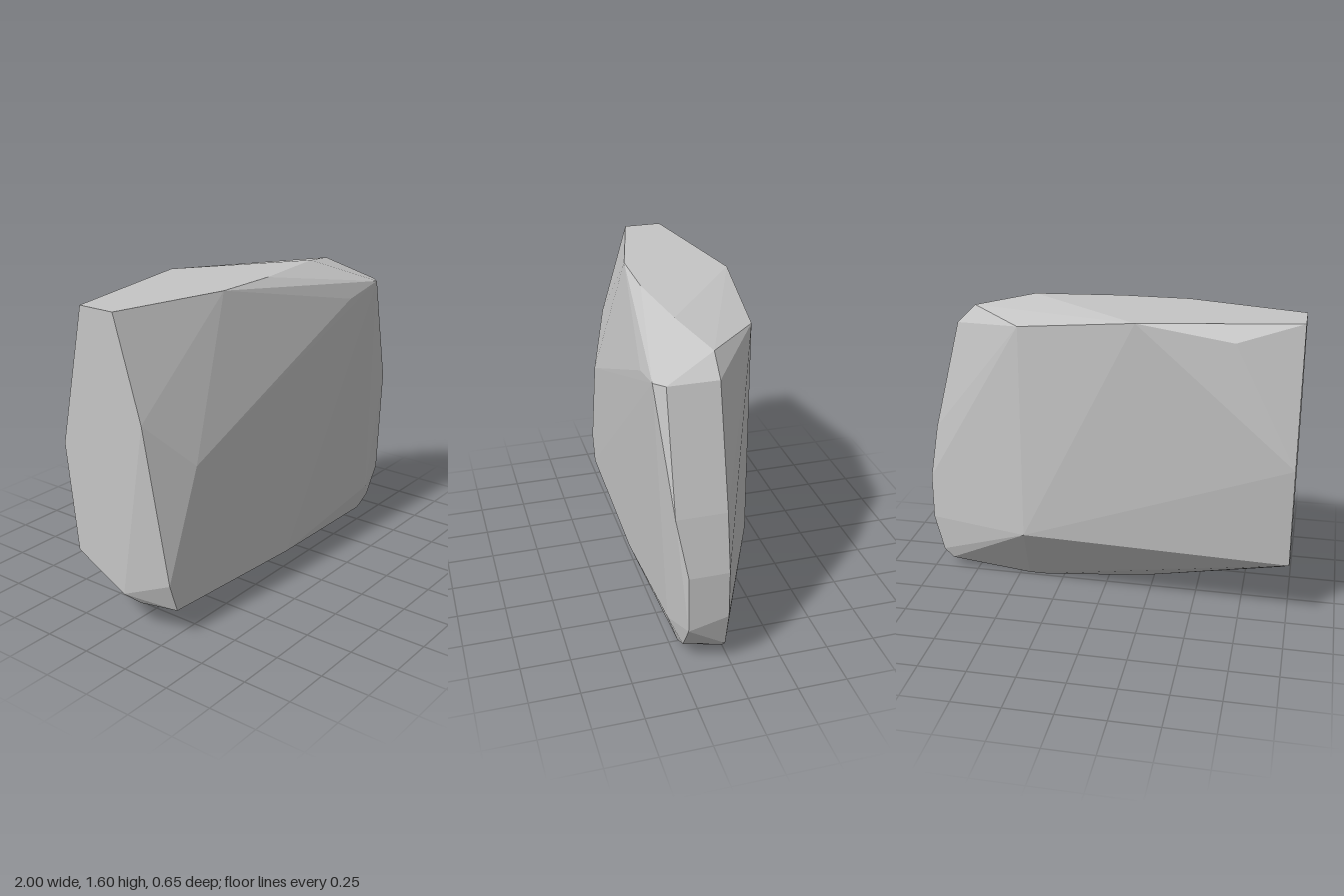
import * as THREE from 'three';
import { ConvexGeometry } from 'three/addons/geometries/ConvexGeometry.js';

// Each group of corners shares one depth or one side; the rock is their convex hull.
const topRim = [
  [-1, 1.6, -0.18], [-0.2, 1.6, -0.33], [0.4, 1.53, -0.26], [0.7, 1.55, 0.02],
  [0.4, 1.6, 0.12], [-0.05, 1.6, 0.17], [-0.4, 1.6, 0.17], [-1, 1.6, 0.02],
];
const frontFace = [
  [-0.75, 0.85, 0.28], [0.5, 1.4, 0.312], [0.75, 1.45, 0.32], [0.8, 1.45, 0.27],
  [0.95, 0.85, 0.27], [0.8, 0.2, 0.27], [0, 0.1, 0.27], [-0.9, 0.15, 0.27], [-0.95, 0.3, 0.27],
];
const frontBevel = [
  [1, 0.55, 0.22], [1, 0.25, 0.22], [0.9, 0.1, 0.22], [0.8, 0.05, 0.22], [-1, 1.1, 0.17],
];
const middleRim = [
  [0.8, 1.45, 0.02], [0.95, 0.85, 0.02], [1, 0.55, 0.02], [1, 0.3, 0.02], [0.95, 0.1, 0.02],
  [0.9, 0.05, 0.02], [0.45, 0, 0.02], [0.35, 0, 0.02], [-0.2, 0.05, 0.02],
  [-0.95, 0.15, 0.08], [-1, 0.2, 0.02],
];
const backFace = [
  [-0.68, 1.52, -0.3], [-1, 0.9, -0.33], [-1, 0.35, -0.27], [0.4, 0.38, -0.26],
];

export function createModel() {
  const group = new THREE.Group();
  group.name = 'rock';

  const stone = new THREE.MeshStandardMaterial({ color: 0xc5c5c5 });
  stone.name = 'stone grey';

  const corners = [topRim, frontFace, frontBevel, middleRim, backFace]
    .flat()
    .map((p) => new THREE.Vector3(...p));

  // Faceted boulder slab; the hull geometry already has flat normals
  const slab = new THREE.Mesh(new ConvexGeometry(corners), stone);
  slab.name = 'rockSlab';
  group.add(slab);
  return group;
}
